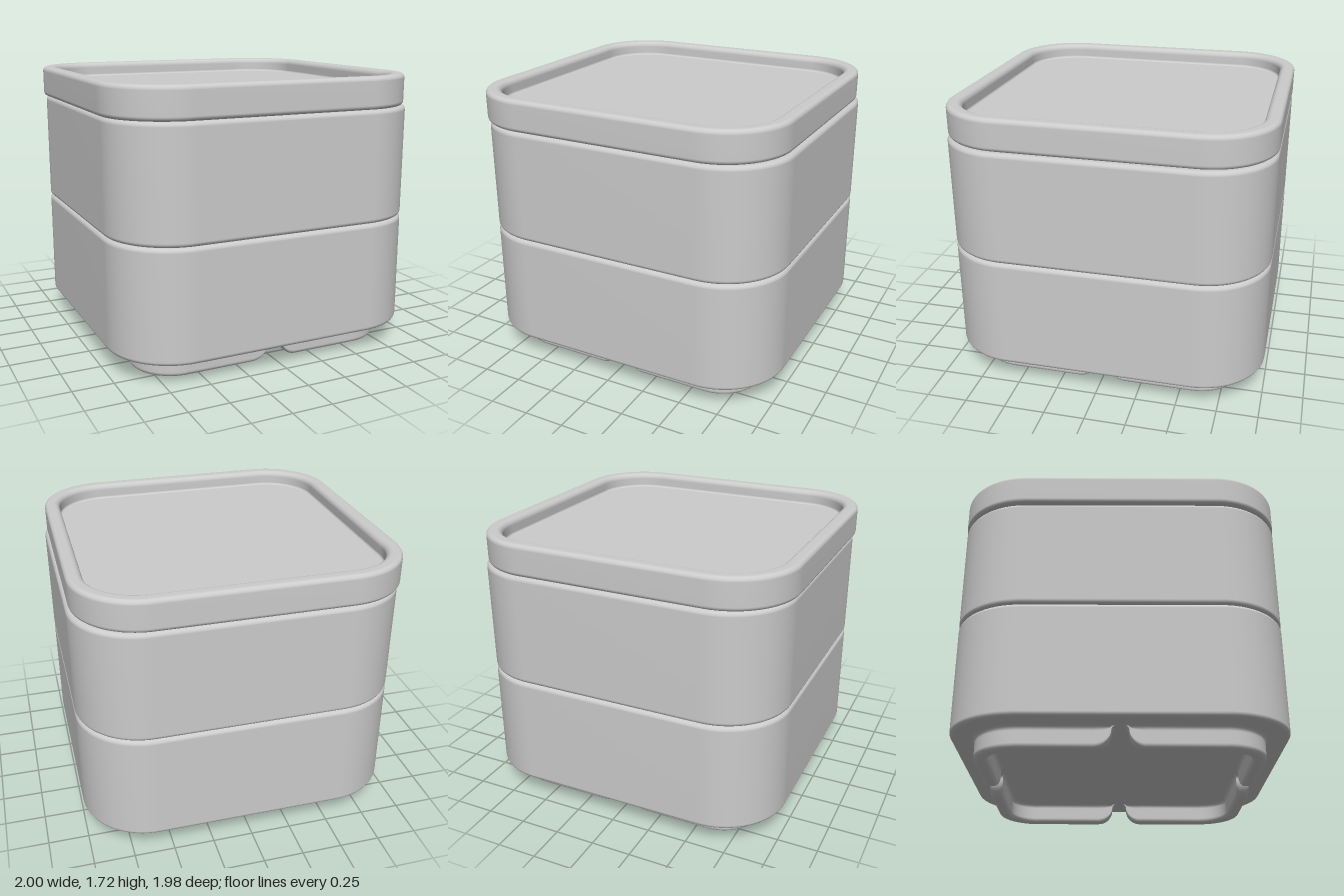
import * as THREE from 'three';

const C = 0.58; // centre of every rounded corner, measured from the axis

// Points of an arc [x, y], angles in degrees
function arc(cx, cy, r, from, to, n = 6) {
  return Array.from({ length: n + 1 }, (_, i) => {
    const a = THREE.MathUtils.degToRad(from + ((to - from) * i) / n);
    return [cx + r * Math.cos(a), cy + r * Math.sin(a)];
  });
}

// Rounded-square path. "ends" lists [distance from side centre, height scale].
function squarePath(ends = []) {
  const path = [];
  for (let k = 0; k < 4; k++) {
    const a = (k * Math.PI) / 2;
    const n = [Math.round(Math.cos(a)), Math.round(Math.sin(a))];
    const t = [-n[1], n[0]];
    for (const [d, h] of ends) path.push({ x: n[0] * C + t[0] * d, z: n[1] * C + t[1] * d, nx: n[0], nz: n[1], h });
    for (let i = 0; i <= 18; i++) {
      const b = a + (i / 18) * (Math.PI / 2);
      path.push({ x: (n[0] + t[0]) * C, z: (n[1] + t[1]) * C, nx: Math.cos(b), nz: Math.sin(b), h: 1 });
    }
    for (const [d, h] of [...ends].reverse()) path.push({ x: t[0] * C + n[0] * d, z: t[1] * C + n[1] * d, nx: t[0], nz: t[1], h });
  }
  return path;
}

// Sweep a profile of [half width, y] round the path; half width 0 closes at the axis
function sweep(name, profile, path, top = 0) {
  const pos = [], index = [], m = path.length;
  for (const [w, y] of profile) {
    for (const p of path) {
      const o = w - C;
      const px = w === 0 ? 0 : p.x + p.nx * o, pz = w === 0 ? 0 : p.z + p.nz * o;
      pos.push(px, top - (top - y) * p.h, pz);
    }
  }
  for (let j = 0; j < profile.length - 1; j++) {
    for (let i = 0; i < m; i++) {
      const a = j * m + i, b = j * m + ((i + 1) % m), c = a + m, d = b + m;
      if (profile[j + 1][0] !== 0) index.push(a, c, d);
      else index.push(a, c, b);
      if (profile[j][0] !== 0 && profile[j + 1][0] !== 0) index.push(a, d, b);
    }
  }
  const g = new THREE.BufferGeometry();
  g.setAttribute('position', new THREE.Float32BufferAttribute(pos, 3));
  g.setIndex(index);
  g.computeVertexNormals();
  const mesh = new THREE.Mesh(g, new THREE.MeshStandardMaterial({ color: 0xcccccc }));
  mesh.name = name;
  return mesh;
}

export function createModel() {
  const group = new THREE.Group();
  group.name = 'stackedContainer';
  const W = 0.992, R = 0.028;
  const round = squarePath();

  // Two stacked boxes with rounded edges
  for (const [name, y0, y1] of [['lowerBox', 0.132, 0.827], ['upperBox', 0.828, 1.523]]) {
    const box = sweep(name, [
      [0, y0],
      ...arc(W - R, y0 + R, R, -90, 0),
      ...arc(W - R, y1 - R, R, 0, 90),
      [0, y1],
    ], round);
    box.position.x = 0.008;
    group.add(box);
  }

  // Lid with a raised rim around a recess
  const lid = sweep('lid', [
    [0, 1.524],
    ...arc(W - R, 1.524 + R, R, -90, 0),
    ...arc(W - R, 1.72 - R, R, 0, 90),
    ...arc(0.93, 1.685, 0.035, 90, 180),
    ...arc(0.88, 1.64, 0.015, 0, -90),
    [0, 1.625],
  ], round);
  lid.position.x = -0.008;
  group.add(lid);

  // Foot ring, fading into the box at a notch in the middle of each side
  const top = 0.134;
  const notch = [...arc(0.02, 0.102, 0.03, 90, 0), ...arc(0.15, 0.1, 0.1, 180, 270, 10)]
    .map(([d, y]) => [d, (top - y) / top]);
  const feet = sweep('footRing', [
    [0.73, top],
    ...arc(0.73, 0.102, 0.03, 90, 0),
    ...arc(0.79, 0.03, 0.03, 180, 270),
    ...arc(0.815, 0.03, 0.03, 270, 360),
    ...arc(0.875, 0.102, 0.03, 180, 90),
    [0.875, top],
  ], squarePath(notch), top);
  feet.position.x = 0.008;
  group.add(feet);

  return group;
}
